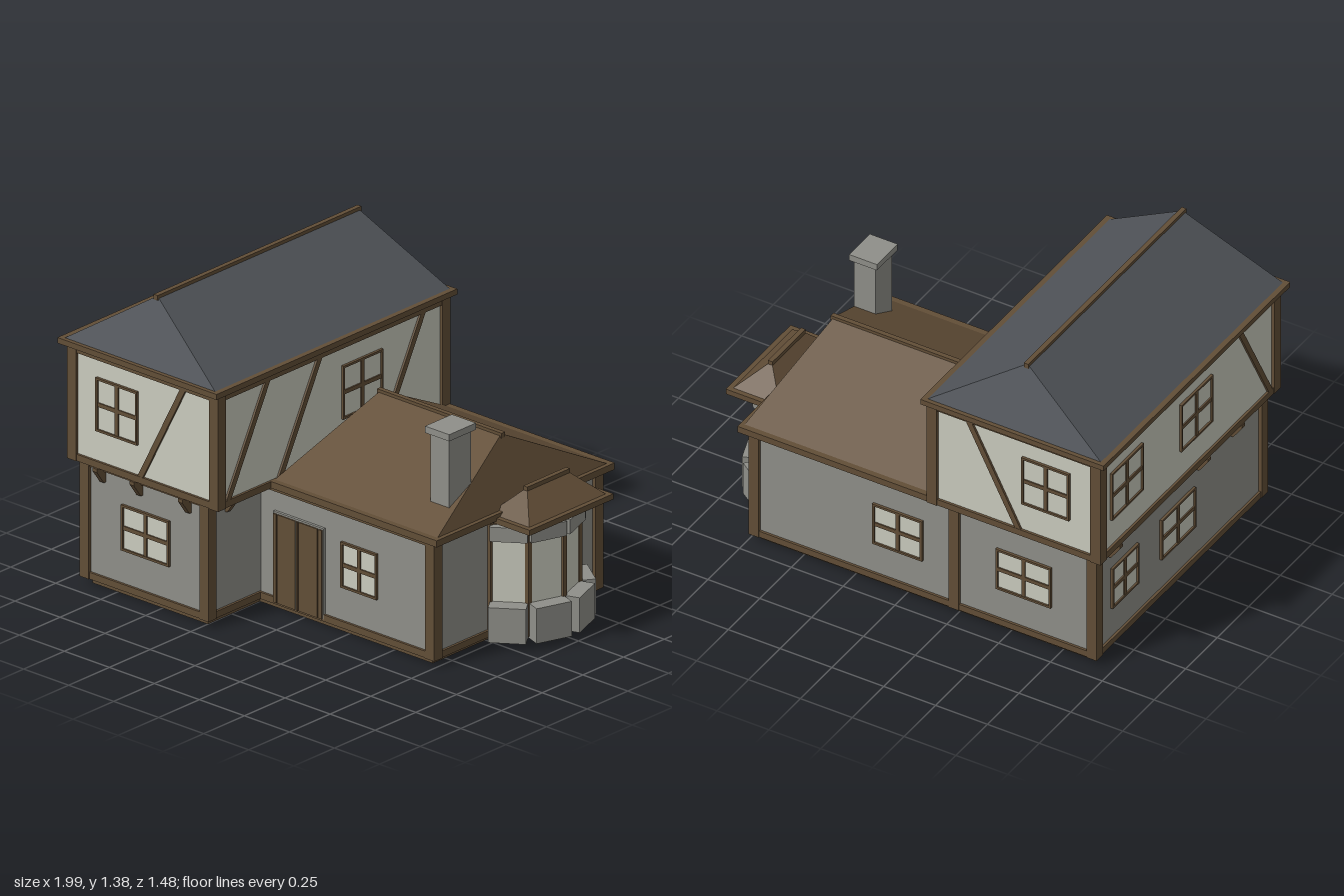
import * as THREE from 'three';

const mat = (name, color) => {
  const m = new THREE.MeshStandardMaterial({ color });
  m.name = name;
  return m;
};

export function createModel() {
  const timber = mat('brown timber', 0x624e37);
  const stone = mat('grey stone', 0x8f8f89);
  const plaster = mat('cream plaster', 0xcacbbe);
  const slate = mat('dark slate', 0x4f5358);
  const house = new THREE.Group();
  house.name = 'house';

  const group = (name, parent = house) => {
    const g = new THREE.Group();
    g.name = name;
    parent.add(g);
    return g;
  };
  const add = (parent, name, geo, m) => {
    const mesh = new THREE.Mesh(geo, m);
    mesh.name = name;
    parent.add(mesh);
    return mesh;
  };
  // Box given by its limits on each axis
  const box = (parent, name, m, x0, x1, y0, y1, z0, z1) => {
    const b = add(parent, name, new THREE.BoxGeometry(x1 - x0, y1 - y0, z1 - z0), m);
    b.position.set((x0 + x1) / 2, (y0 + y1) / 2, (z0 + z1) / 2);
    return b;
  };

  // Storey: inset wall, corner posts, sill and top beams
  function storey(name, m, [x0, x1, z0, z1], [y0, y1], sill, head, leftPosts = true) {
    const g = group(name), i = 0.015, p = 0.05;
    box(g, 'wall', m, x0 + i, x1 - i, y0, y1, z0 + i, z1 - i);
    for (const x of leftPosts ? [x0, x1 - p] : [x1 - p])
      for (const z of [z0, z1 - p]) box(g, 'cornerPost', timber, x, x + p, y0, y1, z, z + p);
    const e = 0.004;
    for (const [a, b] of [[y0, y0 + sill], [y1 - head, y1]]) {
      for (const z of [z0 + e, z1 - p - e]) box(g, 'beam', timber, x0 + e, x1 - e, a, b, z, z + p);
      for (const x of [x0 + e, x1 - p - e]) box(g, 'beam', timber, x, x + p, a, b, z0 + e, z1 - e);
    }
  }

  // Hipped roof: a box whose top is drawn in to a ridge, with eave rails and ridge beam
  function hipRoof(name, m, [x0, x1, z0, z1], [y0, y1], ridge, eave, skipLeft = false) {
    const g = group(name);
    const geo = new THREE.BoxGeometry(1, 1, 1).toNonIndexed();
    const p = geo.attributes.position;
    for (let i = 0; i < p.count; i++) {
      const [a, b, c, d] = p.getY(i) > 0 ? ridge : [x0, x1, z0, z1];
      p.setXYZ(i, p.getX(i) < 0 ? a : b, p.getY(i) > 0 ? y1 : y0, p.getZ(i) < 0 ? c : d);
    }
    geo.computeVertexNormals();
    add(g, 'roofSlopes', geo, m);
    const o = 0.017, w = 0.035, t = y0 + 0.005, b = t - eave;
    for (const z of [z0 - o, z1 + o - w]) box(g, 'eaveRail', timber, x0 - (skipLeft ? 0 : o), x1 + o, b, t, z, z + w);
    for (const x of skipLeft ? [x1 + o - w] : [x0 - o, x1 + o - w])
      box(g, 'eaveRail', timber, x, x + w, b, t, z0 - o, z1 + o);
    const r = 0.011;
    box(g, 'ridgeBeam', timber, ridge[0] - r, ridge[1] + r, y1 - 0.015, y1 + 0.008, ridge[2] - r, ridge[3] + r);
  }

  // Wall face: local z points out of the wall; u is the world x or z along it
  const SIDES = { front: [0, 1], right: [Math.PI / 2, -1], back: [Math.PI, -1], left: [-Math.PI / 2, 1] };
  function face(name, side, plane) {
    const [angle, sign] = SIDES[side];
    const g = group(name);
    g.rotation.y = angle;
    g.position.set(Math.sin(angle) * plane, 0, Math.cos(angle) * plane);
    return { g, sign };
  }
  function windowOn({ g, sign }, u0, u1, y0, y1) {
    const w = group('window', g), hw = (u1 - u0) / 2, hh = (y1 - y0) / 2, f = 0.01;
    w.position.set(sign * (u0 + u1) / 2, (y0 + y1) / 2, 0);
    box(w, 'pane', plaster, -hw, hw, -hh, hh, -0.002, 0.004);
    for (const s of [-1, 1]) {
      box(w, 'frameSide', timber, s * hw - f / 2, s * hw + f / 2, -hh - f / 2, hh + f / 2, 0, 0.012);
      box(w, 'frameRail', timber, -hw, hw, s * hh - f / 2, s * hh + f / 2, 0, 0.012);
    }
    box(w, 'mullion', timber, -0.009, 0.009, -hh, hh, 0, 0.01);
    box(w, 'transom', timber, -hw, hw, -0.009, 0.009, 0, 0.01);
  }
  function braceOn({ g, sign }, uLow, uHigh) {
    const du = sign * (uHigh - uLow), dy = 0.465;
    const b = add(g, 'diagonalBrace', new THREE.BoxGeometry(0.026, Math.hypot(du, dy), 0.02), timber);
    b.position.set(sign * (uLow + uHigh) / 2, 0.818, 0);
    b.rotation.z = -Math.atan2(du, dy);
  }
  function bracketOn({ g, sign }, u) {
    const s = new THREE.Shape([[0, 0], [0.055, 0], [0.055, -0.015], [0.012, -0.075], [0, -0.075]].map(p => new THREE.Vector2(...p)));
    const geo = new THREE.ExtrudeGeometry(s, { depth: 0.024, bevelEnabled: false });
    geo.translate(0, 0, -0.012).rotateY(-Math.PI / 2);
    add(g, 'bracket', geo, timber).position.set(sign * u, 0.56, 0);
  }

  // Plinth
  const plinth = group('plinth');
  box(plinth, 'towerPlinth', timber, -0.89, -0.25, 0, 0.035, -0.645, 0.645);
  box(plinth, 'wingPlinth', timber, -0.25, 0.71, 0, 0.035, -0.645, 0.325);

  // Storeys
  storey('towerGroundFloor', stone, [-0.93, -0.215, -0.68, 0.68], [0.03, 0.56], 0.03, 0.025);
  storey('wing', stone, [-0.24, 0.75, -0.68, 0.36], [0.03, 0.56], 0.03, 0.025, false);
  storey('towerUpperFloor', plaster, [-0.97, -0.13, -0.715, 0.715], [0.56, 1.08], 0.03, 0.035);

  // Roofs
  hipRoof('towerRoof', slate, [-0.983, -0.133, -0.723, 0.723], [1.095, 1.375], [-0.557, -0.557, -0.615, 0.615], 0.025);
  hipRoof('wingRoof', timber, [-0.14, 0.768, -0.693, 0.367], [0.585, 0.857], [-0.02, 0.65, -0.163, -0.163], 0.03, true);

  // Ground floor openings and overhang brackets
  const front = face('groundFront', 'front', 0.665);
  windowOn(front, -0.7, -0.445, 0.215, 0.41);
  [-0.81, -0.605, -0.335].forEach(u => bracketOn(front, u));
  const left = face('groundLeft', 'left', 0.915);
  windowOn(left, -0.54, -0.34, 0.215, 0.41);
  windowOn(left, -0.15, 0.11, 0.215, 0.41);
  [-0.55, 0.15, 0.42].forEach(u => bracketOn(left, u));
  bracketOn(face('groundRight', 'right', -0.23), 0.55);
  const back = face('groundBack', 'back', 0.665);
  windowOn(back, -0.7, -0.445, 0.215, 0.41);
  windowOn(back, -0.08, 0.15, 0.215, 0.41);
  const wingFront = face('wingFront', 'front', 0.345);
  windowOn(wingFront, 0.23, 0.42, 0.215, 0.41);

  // Double door
  const door = group('door', wingFront.g);
  box(door, 'doorSurround', stone, -0.147, 0.132, 0.04, 0.446, 0, 0.012);
  for (const [a, b] of [[-0.142, -0.126], [-0.12, -0.022], [-0.016, -0.006], [0, 0.102], [0.108, 0.127]])
    box(door, 'doorBoard', timber, a, b, 0.04, 0.438, 0, 0.018);

  // Upper floor windows and braces
  for (const side of ['front', 'back']) {
    const f = face('upper' + side, side, 0.7);
    windowOn(f, -0.81, -0.59, 0.73, 0.96);
    braceOn(f, -0.57, -0.33);
  }
  const upRight = face('upperRight', 'right', -0.145);
  [0.645, 0.325, -0.31].forEach(u => braceOn(upRight, u, u - 0.245));
  windowOn(upRight, -0.3, -0.065, 0.73, 0.96);
  const upLeft = face('upperLeft', 'left', 0.955);
  braceOn(upLeft, 0.645, 0.4);
  windowOn(upLeft, -0.61, -0.37, 0.73, 0.96);
  windowOn(upLeft, -0.06, 0.18, 0.73, 0.96);

  // Chimney
  const chimney = group('chimney');
  box(chimney, 'stack', stone, 0.602, 0.705, 0.6, 0.975, 0.085, 0.218);
  box(chimney, 'cap', stone, 0.586, 0.72, 0.97, 1.0, 0.07, 0.235);

  // Bay window: four facets between five posts
  const bay = group('bayWindow');
  const pts = [[0.74, 0.005], [0.87, -0.085], [0.925, -0.24], [0.87, -0.395], [0.74, -0.485]];
  pts.forEach(([x, z]) => box(bay, 'bayPost', timber, x - 0.011, x + 0.011, 0.04, 0.55, z - 0.011, z + 0.011));
  for (let i = 0; i < 4; i++) {
    const [ax, az] = pts[i], [bx, bz] = pts[i + 1];
    const dx = bx - ax, dz = bz - az, h = Math.hypot(dx, dz) / 2;
    const facet = group('bayFacet', bay);
    facet.position.set((ax + bx) / 2, 0, (az + bz) / 2);
    facet.rotation.y = Math.atan2(-dz, dx);
    box(facet, 'bayBase', stone, -h, h, 0.03, 0.187, -0.03, 0.073);
    box(facet, 'bayPane', plaster, -h, h, 0.18, 0.47, -0.004, 0.004);
    box(facet, 'bayLintel', stone, -h, h, 0.465, 0.53, -0.03, 0.03);
  }
  const plan = new THREE.Shape(pts.map(([x, z]) => new THREE.Vector2(x, -z)));
  for (const y of [0.035, 0.525]) {
    const slab = add(bay, 'baySlab', new THREE.ExtrudeGeometry(plan, { depth: 0.025, bevelEnabled: false }), timber);
    slab.rotation.x = -Math.PI / 2;
    slab.position.y = y;
  }
  hipRoof('bayRoof', timber, [0.72, 0.953, -0.48, 0.0], [0.568, 0.682], [0.832, 0.832, -0.36, -0.12], 0.025);

  return house;
}
